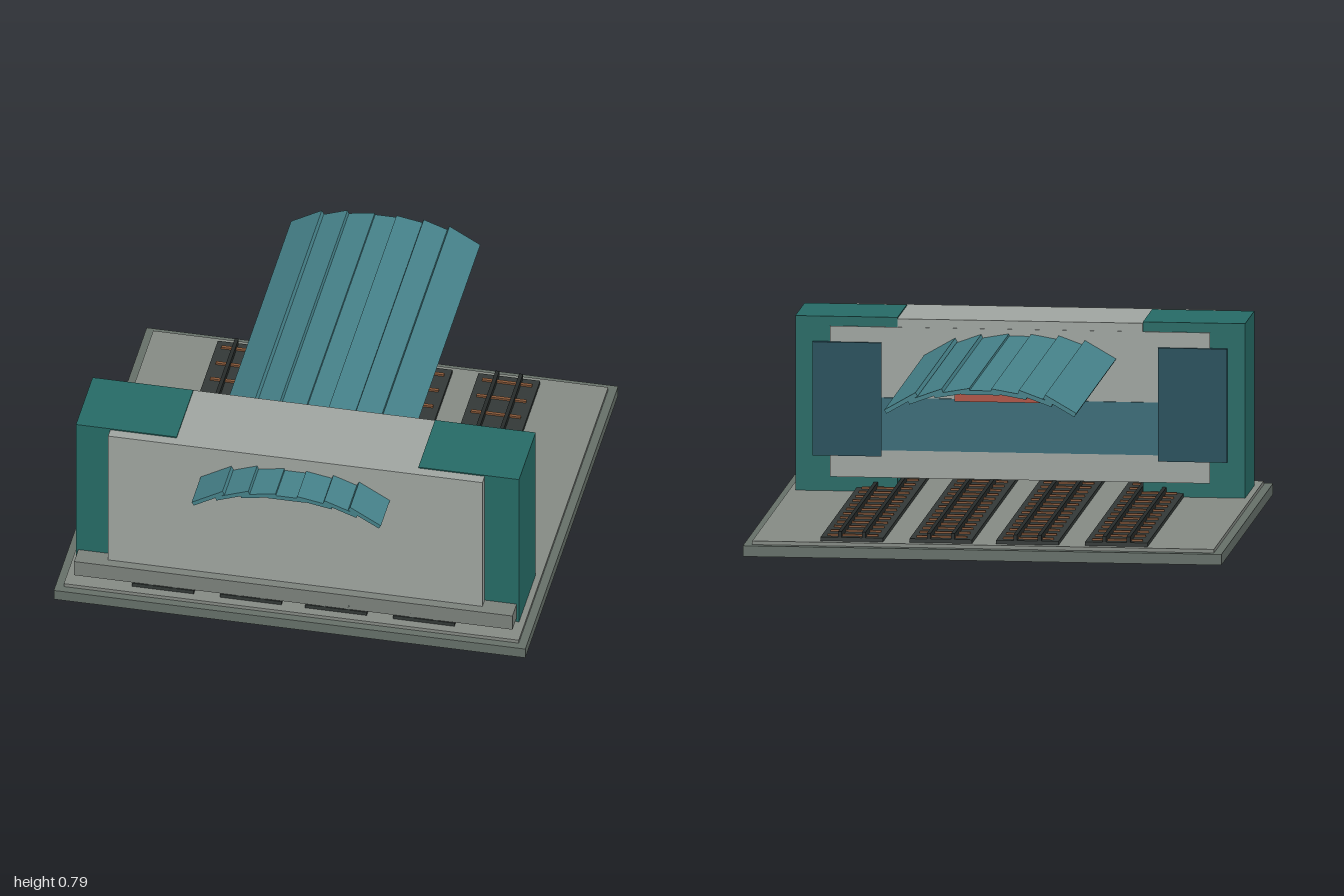
import * as THREE from 'three';

const mat = (color) => new THREE.MeshStandardMaterial({ color, flatShading: true });
const M = {
  plinth: mat(0x667069), floor: mat(0x868b85), wall: mat(0xa0a6a1), bar: mat(0x7c827c),
  teal: mat(0x266b66), roof: mat(0x46828a), door: mat(0x264f5c), band: mat(0x3a6c78),
  bed: mat(0x333937), rail: mat(0x262b2a), tie: mat(0x8a5a3a), red: mat(0xb05545),
};

// Box given by its min and max along each axis
function box(parent, name, material, [x0, x1], [y0, y1], [z0, z1]) {
  const mesh = new THREE.Mesh(new THREE.BoxGeometry(x1 - x0, y1 - y0, z1 - z0), material);
  mesh.position.set((x0 + x1) / 2, (y0 + y1) / 2, (z0 + z1) / 2);
  mesh.name = name;
  parent.add(mesh);
  return mesh;
}

function group(parent, name) {
  const g = new THREE.Group();
  g.name = name;
  parent.add(g);
  return g;
}

export function createModel() {
  const model = new THREE.Group();
  model.name = 'stationHall';

  // Stepped base
  box(model, 'plinth', M.plinth, [-0.995, 0.995], [0, 0.045], [-0.935, 0.935]);
  box(model, 'floor', M.floor, [-0.96, 0.96], [0.045, 0.06], [-0.9, 0.9]);

  // Four tracks: bed, two rails and a row of ties
  for (const x of [-0.55, -0.18, 0.18, 0.55]) {
    const track = group(model, 'track');
    track.position.x = x;
    box(track, 'trackBed', M.bed, [-0.13, 0.13], [0.06, 0.076], [-0.865, 0.86]);
    for (const s of [-0.05, 0.05])
      box(track, 'rail', M.rail, [s - 0.008, s + 0.008], [0.076, 0.1], [-0.865, 0.86]);
    for (let i = 0; i < 15; i++) {
      const z = -0.82 + i * 0.112;
      box(track, 'tie', M.tie, [-0.105, 0.105], [0.076, 0.084], [z - 0.007, z + 0.007]);
    }
  }

  // Head building: grey middle, two end blocks, front and back panels
  const hall = group(model, 'headBuilding');
  box(hall, 'middleBlock', M.wall, [-0.51, 0.51], [0.12, 0.785], [0.435, 0.775]);
  box(hall, 'frontPanel', M.wall, [-0.79, 0.79], [0.085, 0.785], [0.77, 0.82]);
  box(hall, 'backPanel', M.wall, [-0.79, 0.79], [0.12, 0.75], [0.433, 0.45]);
  box(hall, 'frontSill', M.bar, [-0.925, 0.925], [0.08, 0.15], [0.765, 0.86]);
  box(hall, 'windowBand', M.band, [-0.6, 0.6], [0.235, 0.455], [0.427, 0.44]);
  box(hall, 'balcony', M.red, [-0.25, 0.25], [0.475, 0.515], [0.24, 0.44]);
  for (const s of [-1, 1]) {
    const span = (a, b) => (s > 0 ? [a, b] : [-b, -a]);
    box(hall, 'endBlock', M.teal, span(0.51, 0.935), [0.06, 0.79], [0.44, 0.775]);
    box(hall, 'door', M.door, span(0.575, 0.862), [0.21, 0.685], [0.42, 0.442]);
  }

  // Arched roof of overlapping slats, each steeper than the last
  const roof = group(model, 'roof');
  const slats = [[0, 0.713, 0.16], [0.118, 0.709, 0.15], [0.228, 0.693, 0.15], [0.33, 0.664, 0.15]];
  slats.forEach(([x, y, w], i) => {
    for (const s of i ? [-1, 1] : [1]) {
      const slat = box(roof, 'roofSlat', M.roof, [-w / 2, w / 2], [-0.009, 0.009], [-1, 1]);
      slat.position.set(s * x, y, 0);
      slat.rotation.z = -s * i * THREE.MathUtils.degToRad(10);
    }
  });

  return model;
}
